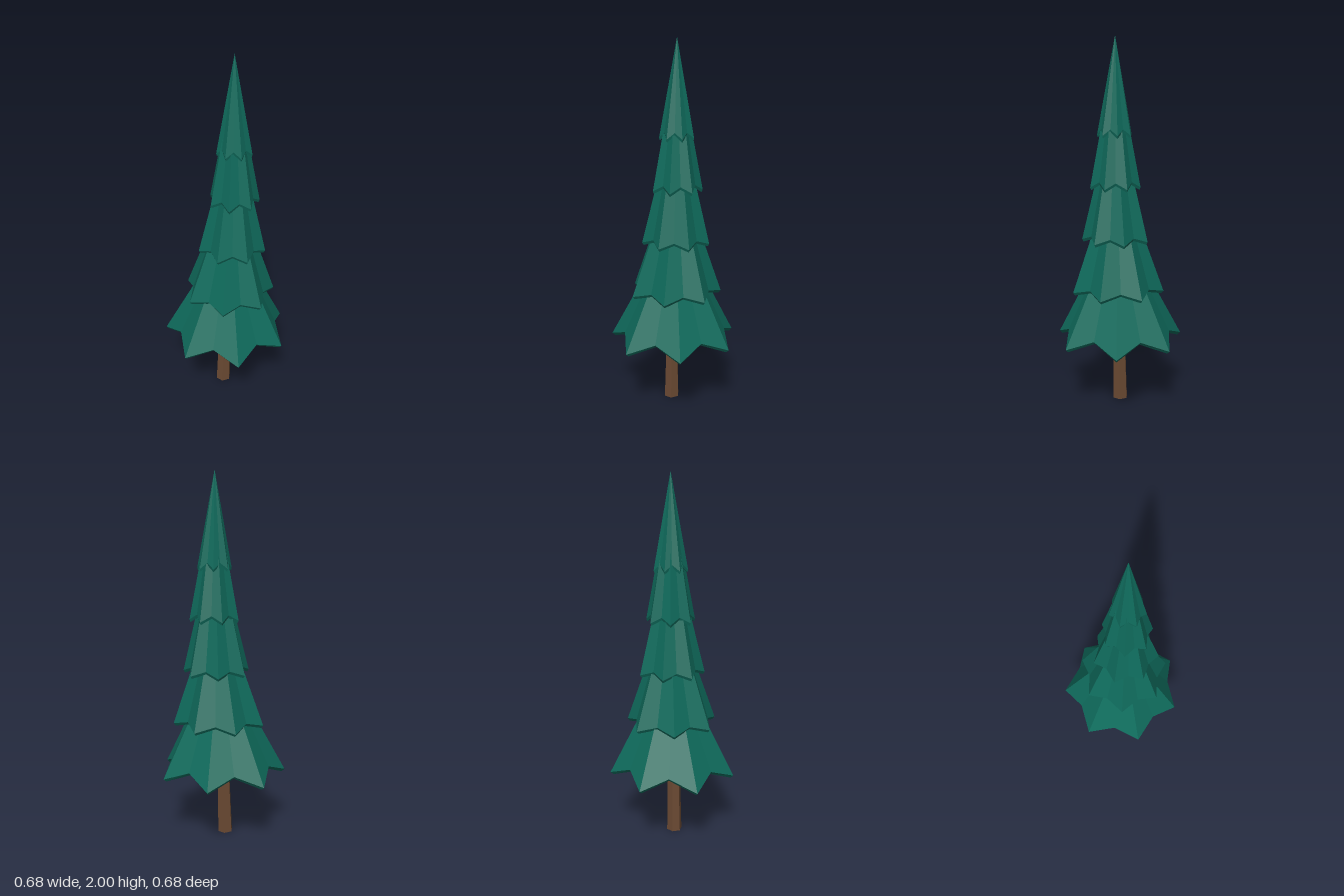
import * as THREE from 'three';

const POINTS = 7;

// One skirt of branches: a seven-pointed star cone with a thin rim and a hollow underside
function branchTier({ x, y, apex, apexX, radius, rise, phase, hollow }) {
  const ring = (scale, drop) => Array.from({ length: POINTS * 2 }, (_, i) => {
    const a = THREE.MathUtils.degToRad(phase) + (i * Math.PI) / POINTS;
    const notch = i % 2 === 1;
    const r = radius * scale * (notch ? 0.8 : 1);
    return [x + r * Math.cos(a), y - drop + (notch ? rise : 0), r * Math.sin(a)];
  });
  const top = ring(1, 0);
  const low = ring(0.955, 0.014);
  const peak = [apexX, apex, 0];
  const inside = [x, y + hollow, 0];
  const pos = [];
  for (let i = 0; i < top.length; i++) {
    const n = (i + 1) % top.length;
    pos.push(...peak, ...top[n], ...top[i]); // outer slope
    pos.push(...top[i], ...low[n], ...low[i], ...top[i], ...top[n], ...low[n]); // rim
    pos.push(...inside, ...low[i], ...low[n]); // underside
  }
  const geo = new THREE.BufferGeometry();
  geo.setAttribute('position', new THREE.Float32BufferAttribute(pos, 3));
  geo.computeVertexNormals();
  return geo;
}

export function createModel() {
  const tree = new THREE.Group();
  tree.name = 'pineTree';

  const needles = new THREE.MeshStandardMaterial({ color: 0x0f6b5c });
  needles.name = 'needleGreen';
  const bark = new THREE.MeshStandardMaterial({ color: 0x6b4a33 });
  bark.name = 'barkBrown';

  // Six-sided trunk, tapered and leaning slightly towards +x
  const height = 0.6;
  const trunkGeo = new THREE.CylinderGeometry(0.031, 0.043, height, 6).toNonIndexed();
  trunkGeo.translate(0, height / 2, 0);
  const p = trunkGeo.attributes.position;
  for (let i = 0; i < p.count; i++) {
    p.setX(i, p.getX(i) - 0.003 + 0.027 * p.getY(i));
    p.setZ(i, p.getZ(i) + 0.005);
  }
  trunkGeo.computeVertexNormals();
  const trunk = new THREE.Mesh(trunkGeo, bark);
  trunk.name = 'trunk';
  tree.add(trunk);

  // Branch tiers from the bottom up
  const tiers = [
    { x: 0.015, y: 0.37, apex: 1.04, apexX: 0.03, radius: 0.352, rise: 0.062, phase: 20.8, hollow: 0.13 },
    { x: 0.03, y: 0.65, apex: 1.36, apexX: 0.045, radius: 0.252, rise: 0.03, phase: -12, hollow: 0.1 },
    { x: 0.044, y: 0.935, apex: 1.68, apexX: 0.053, radius: 0.184, rise: 0.028, phase: 5, hollow: 0.08 },
    { x: 0.053, y: 1.222, apex: 1.93, apexX: 0.053, radius: 0.136, rise: 0.033, phase: -9, hollow: 0.07 },
    { x: 0.055, y: 1.495, apex: 2, apexX: 0.052, radius: 0.094, rise: 0.033, phase: 10, hollow: 0.06 },
  ];
  tiers.forEach((tier, i) => {
    const mesh = new THREE.Mesh(branchTier(tier), needles);
    mesh.name = `branchTier${i + 1}`;
    tree.add(mesh);
  });

  return tree;
}
